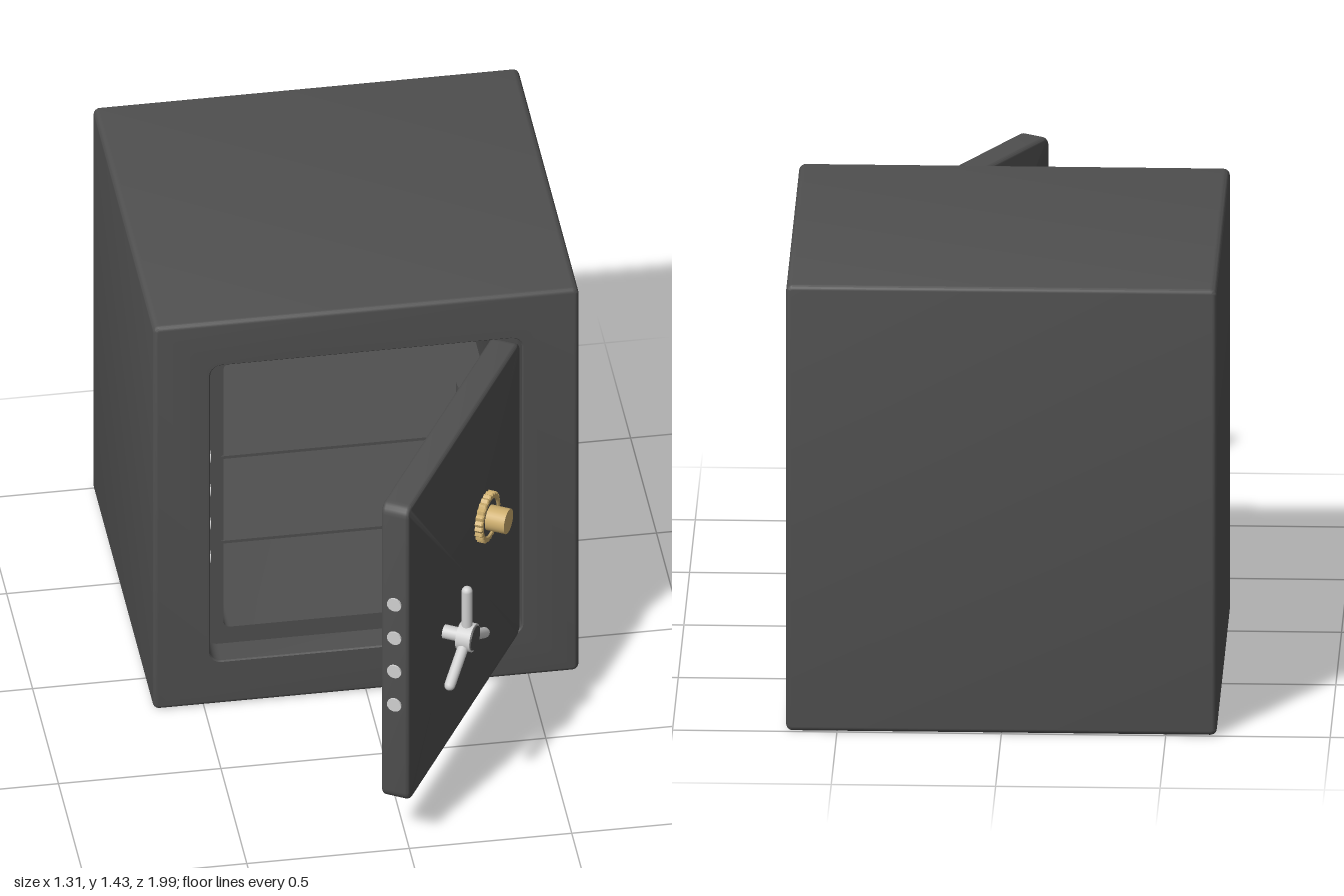
import * as THREE from 'three';
import { toCreasedNormals } from 'three/addons/utils/BufferGeometryUtils.js';

const paint = (name, color) => Object.assign(new THREE.MeshStandardMaterial({ color }), { name });

function add(parent, name, geometry, material, x = 0, y = 0, z = 0) {
  const mesh = new THREE.Mesh(geometry, material);
  mesh.name = name;
  mesh.position.set(x, y, z);
  parent.add(mesh);
  return mesh;
}

// Points of a rounded rectangle, counterclockwise seen from +z
function ring([hw, hh, r, z]) {
  const points = [];
  for (let q = 0; q < 4; q++) {
    const sx = q === 0 || q === 3 ? 1 : -1, sy = q < 2 ? 1 : -1;
    for (let s = 0; s <= 5; s++) {
      const a = (q + s / 5) * Math.PI / 2;
      points.push(new THREE.Vector3(sx * (hw - r) + r * Math.cos(a), sy * (hh - r) + r * Math.sin(a), z));
    }
  }
  return points;
}

// Skin through a list of rounded rectangles [halfWidth, halfHeight, cornerRadius, z]
function loft(sections) {
  const rings = sections.map(ring), out = [];
  const tri = (a, b, c) => {
    const area = b.clone().sub(a).cross(c.clone().sub(a)).length();
    if (area > 1e-9) for (const p of [a, b, c]) out.push(p.x, p.y, p.z);
  };
  for (let k = 0; k < rings.length - 1; k++) {
    const A = rings[k], B = rings[k + 1], n = A.length;
    for (let i = 0; i < n; i++) {
      const j = (i + 1) % n;
      tri(A[i], A[j], B[j]);
      tri(A[i], B[j], B[i]);
    }
  }
  const g = new THREE.BufferGeometry();
  g.setAttribute('position', new THREE.Float32BufferAttribute(out, 3));
  return toCreasedNormals(g, 0.6);
}

// Outer skin of a slab with softened front and back edges, from back centre to front edge
function slab(hw, hh, corner, back, front, soft) {
  const rows = [[0, 0, 0, back]];
  for (const end of [0, 1]) {
    for (let s = 0; s <= 4; s++) {
      const a = (end ? s : 4 - s) / 4 * Math.PI / 2;
      const inset = soft * (1 - Math.cos(a)), depth = soft * (1 - Math.sin(a));
      rows.push([hw - inset, hh - inset, Math.max(corner - inset, 0), end ? front - depth : back + depth]);
      if (end) rows[rows.length - 1][3] = front - depth;
    }
  }
  return rows;
}

// Cylinder running along z, from z0 to z1
function pin(r, z0, z1, sides = 32) {
  return new THREE.CylinderGeometry(r, r, z1 - z0, sides).rotateX(Math.PI / 2).translate(0, 0, (z0 + z1) / 2);
}

export function createModel() {
  const steel = paint('dark steel', 0x505050);
  const chrome = paint('chrome', 0xd0d0d0);
  const brass = paint('brass', 0xcdae6e);
  const model = new THREE.Group();
  model.name = 'safe';

  // Hollow cabinet with a stepped door recess
  add(model, 'cabinet', loft([
    ...slab(0.655, 0.715, 0.02, -1, 0.17, 0.015),
    [0.484, 0.557, 0.039, 0.17],
    [0.48, 0.553, 0.035, 0.166],
    [0.48, 0.553, 0.035, 0.08],
    [0.425, 0.493, 0.02, 0.08],
    [0.425, 0.493, 0.02, -0.9],
    [0, 0, 0, -0.9],
  ]), steel, 0, 0.717, 0);

  // Shelves
  for (const y of [0.545, 0.862]) {
    add(model, 'shelf', new THREE.BoxGeometry(0.866, 0.01, 0.983), steel, 0, y, -0.408);
  }

  // Curved hinge arms
  const arc = new THREE.Shape();
  const a0 = THREE.MathUtils.degToRad(105), a1 = THREE.MathUtils.degToRad(292);
  arc.absarc(0.4, 0.15, 0.12, a0, a1, false);
  arc.absarc(0.4, 0.15, 0.085, a1, a0, true);
  const arm = toCreasedNormals(
    new THREE.ExtrudeGeometry(arc, { depth: 0.14, bevelEnabled: false, curveSegments: 16 }).rotateX(Math.PI / 2), 0.6);
  for (const y of [1.11, 0.46]) add(model, 'hingeArm', arm, steel, 0, y, 0);

  // Door, swung open about its hinge edge
  const door = new THREE.Group();
  door.name = 'door';
  door.position.set(0.475, 0, 0.172);
  door.rotation.y = Math.PI / 3;
  model.add(door);
  add(door, 'doorPanel', loft([...slab(0.4775, 0.548, 0.035, -0.09, 0, 0.012), [0, 0, 0, 0]]),
    steel, -0.4775, 0.717, 0);

  // Locking bolts and their strike plates on the jamb
  for (let i = 0; i < 4; i++) {
    const y = 0.53 + i * 0.125;
    const bolt = new THREE.CylinderGeometry(0.023, 0.023, 0.05, 24).rotateZ(Math.PI / 2);
    add(door, 'bolt', bolt, chrome, -0.936, y, -0.045);
    const strike = new THREE.CylinderGeometry(0.023, 0.023, 0.008, 24).rotateZ(Math.PI / 2);
    add(model, 'strikePlate', strike, chrome, -0.478, y, 0.125);
  }

  // Combination dial with a knurled rim
  const dial = new THREE.Group();
  dial.name = 'dial';
  dial.position.set(-0.313, 0.815, 0);
  door.add(dial);
  const rim = new THREE.Shape();
  for (let i = 0; i < 96; i++) {
    const a = i / 96 * Math.PI * 2, r = 0.079 + 0.003 * Math.cos(a * 24);
    rim[i ? 'lineTo' : 'moveTo'](r * Math.cos(a), r * Math.sin(a));
  }
  rim.holes.push(new THREE.Path().absarc(0, 0, 0.06, 0, Math.PI * 2, true));
  add(dial, 'dialRim', new THREE.ExtrudeGeometry(rim, {
    depth: 0.02, bevelThickness: 0.004, bevelSize: 0.003, bevelOffset: -0.003, bevelSegments: 1, curveSegments: 32,
  }), brass);
  add(dial, 'dialFace', pin(0.061, 0, 0.018), steel);
  add(dial, 'dialKnob', pin(0.04, 0.015, 0.08), brass);

  // Three-spoke handle
  const handle = new THREE.Group();
  handle.name = 'handle';
  handle.position.set(-0.65, 0.61, 0);
  door.add(handle);
  add(handle, 'handleShaft', pin(0.022, -0.01, 0.06), chrome);
  add(handle, 'handleHub', pin(0.045, 0.052, 0.098), chrome);
  add(handle, 'handleCap', pin(0.039, 0.096, 0.102), steel);
  for (let i = 0; i < 3; i++) {
    const spoke = new THREE.CapsuleGeometry(0.017, 0.148, 4, 20).translate(0, 0.095, 0);
    add(handle, 'handleSpoke', spoke, chrome, 0, 0, 0.074).rotation.z = i * Math.PI * 2 / 3;
  }
  return model;
}
